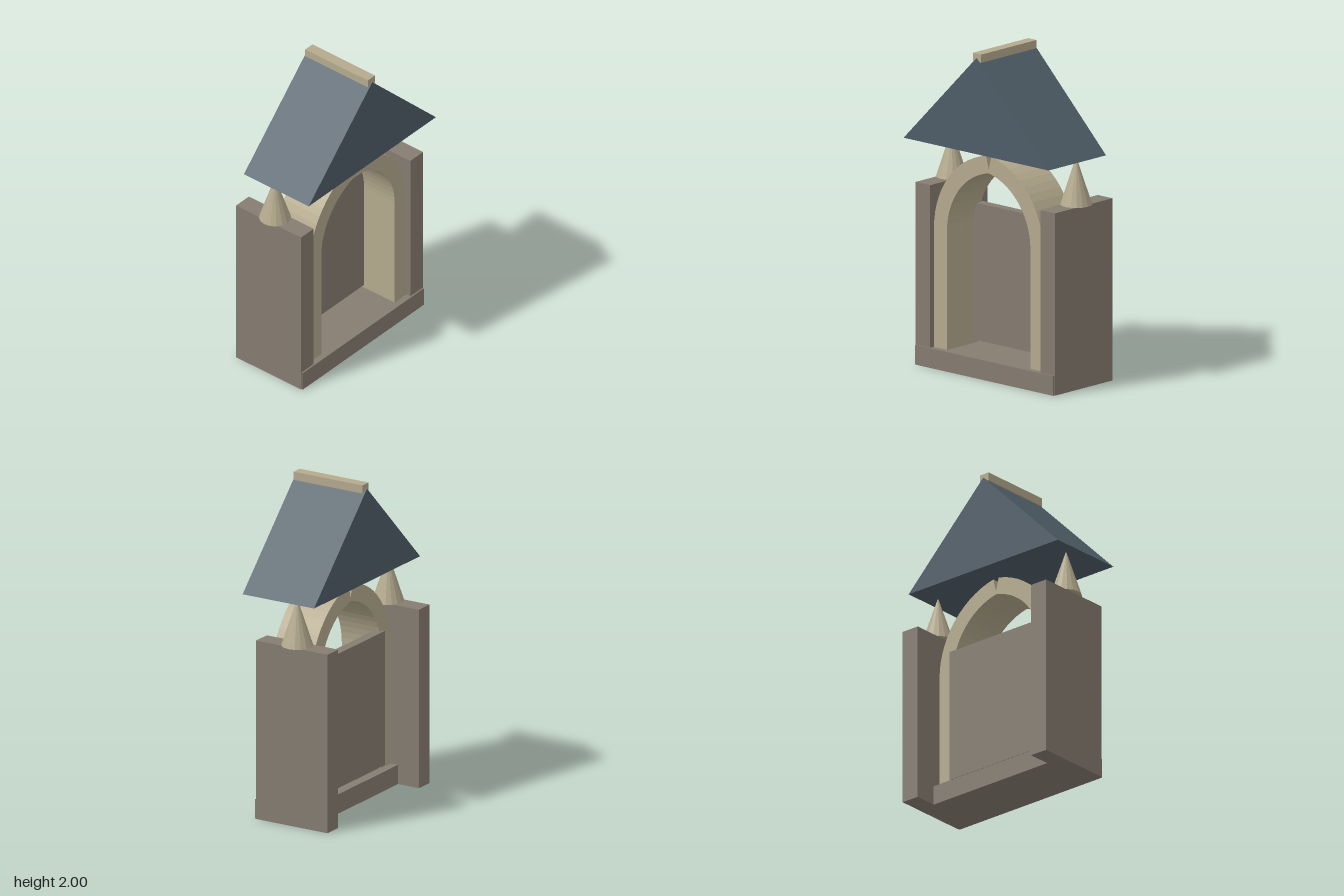
import * as THREE from 'three';

const material = (color) => new THREE.MeshStandardMaterial({ color, flatShading: true });

export function createModel() {
  const model = new THREE.Group();
  model.name = 'shrine';
  const stone = material(0x857c71);
  const trim = material(0xb5aa8e);
  const slate = material(0x4f5d67);

  const add = (name, geometry, mat, parent = model) => {
    const mesh = new THREE.Mesh(geometry, mat);
    mesh.name = name;
    parent.add(mesh);
    return mesh;
  };
  // Box given by its extents on each axis
  const box = (name, [x0, x1], [y0, y1], [z0, z1], mat) => {
    const mesh = add(name, new THREE.BoxGeometry(x1 - x0, y1 - y0, z1 - z0), mat);
    mesh.position.set((x0 + x1) / 2, (y0 + y1) / 2, (z0 + z1) / 2);
    return mesh;
  };

  // Base slab and back panel
  box('base', [-0.555, 0.555], [0, 0.12], [-0.145, 0.22], stone);
  box('backPanel', [-0.345, 0.345], [0.14, 0.975], [-0.115, -0.055], stone);

  // Pointed arch: each half is an arc of overlapping stones
  const spring = 0.845, centre = 0.08, inner = 0.415, outer = 0.52, depth = 0.275;
  const stones = 14;
  const step = Math.acos(centre / inner) / stones;
  const stoneGeometry = new THREE.BoxGeometry(outer - inner, outer * step, depth);

  for (const side of [-1, 1]) {
    const label = side > 0 ? 'left' : 'right';
    const span = (a, b) => (side > 0 ? [a, b] : [-b, -a]);

    // Side wall with its pinnacle
    box(label + 'Wall', span(0.443, 0.56), [0, 1.11], [-0.29, 0.21], stone);
    const cone = add(label + 'Pinnacle', new THREE.ConeGeometry(0.095, 0.29, 16), trim);
    cone.position.set(side * 0.5, 1.255, -0.04);
    cone.rotation.y = Math.PI / 2;

    // Door jamb
    box(label + 'Jamb', span(0.335, 0.44), [0.12, 0.85], [-0.095, 0.18], trim);

    // Arch half
    const half = new THREE.Group();
    half.name = label + 'ArchHalf';
    model.add(half);
    for (let i = 0; i < stones; i++) {
      const angle = (i + 0.5) * step;
      const radius = (inner + outer) / 2;
      const block = add('archStone', stoneGeometry, trim, half);
      block.position.set(
        side * (radius * Math.cos(angle) - centre),
        spring + radius * Math.sin(angle),
        0.0425
      );
      block.rotation.z = side * angle;
    }
  }

  // Gabled roof and ridge cap
  const gable = new THREE.Shape([
    new THREE.Vector2(-0.583, 1.39),
    new THREE.Vector2(0.583, 1.39),
    new THREE.Vector2(0, 1.973),
  ]);
  const roof = new THREE.ExtrudeGeometry(gable, { depth: 0.5, bevelEnabled: false });
  add('roof', roof, slate).position.z = -0.21;
  box('ridgeCap', [-0.033, 0.033], [1.95, 2], [-0.2, 0.283], trim);

  return model;
}
